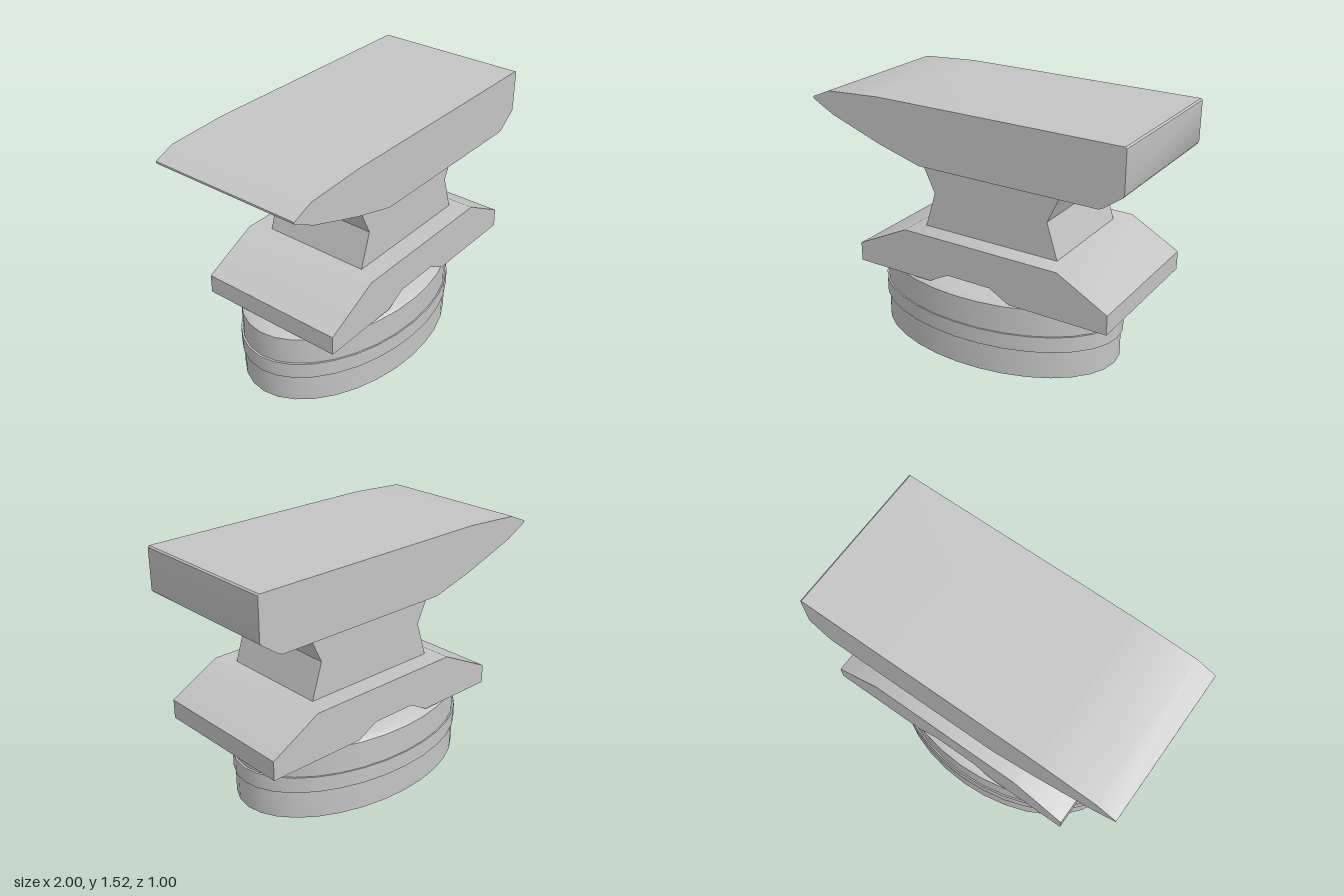
import * as THREE from 'three';
import { toCreasedNormals } from 'three/addons/utils/BufferGeometryUtils.js';

const CREASE = THREE.MathUtils.degToRad(40);

export function createModel() {
  const model = new THREE.Group();
  model.name = 'anvil';
  const steel = new THREE.MeshStandardMaterial({ color: 0xc4c4c4 });
  steel.name = 'grey steel';

  const add = (name, geometry) => {
    const mesh = new THREE.Mesh(toCreasedNormals(geometry, CREASE), steel);
    mesh.name = name;
    model.add(mesh);
  };

  // Side profile (x, y) extruded evenly to both sides of z = 0
  const slab = (name, halfDepth, points) => {
    const shape = new THREE.Shape(points.map(([x, y]) => new THREE.Vector2(x, y)));
    const geometry = new THREE.ExtrudeGeometry(shape, { depth: 2 * halfDepth, bevelEnabled: false });
    add(name, geometry.translate(0, 0, -halfDepth));
  };

  // Oval stand with a raised band and chamfered rim
  const profile = [
    [0, 0], [0.785, 0], [0.785, 0.173], [0.798, 0.173], [0.798, 0.27],
    [0.785, 0.27], [0.785, 0.436], [0.74, 0.458], [0, 0.458],
  ].map(([r, y]) => new THREE.Vector2(r, y));
  const stand = new THREE.LatheGeometry(profile, 32);
  add('stand', stand.scale(1, 1, 0.624).translate(-0.012, 0, 0));

  // Foot with sloping shoulders and an arch beneath
  slab('foot', 0.455, [
    [-0.717, 0.46], [-0.21, 0.46], [-0.085, 0.528], [0.2, 0.528], [0.325, 0.46],
    [0.93, 0.46], [0.93, 0.575], [0.625, 0.742], [-0.38, 0.742], [-0.717, 0.575],
  ]);

  // Pinched waist
  slab('waist', 0.335, [
    [-0.315, 0.74], [0.56, 0.74], [0.492, 0.955], [0.592, 1.166],
    [-0.348, 1.166], [-0.247, 0.955],
  ]);

  // Working face with tapering horn and clipped heel
  slab('faceAndHorn', 0.47, [
    [-0.25, 1.165], [0.86, 1.165], [0.882, 1.174], [0.988, 1.252], [0.997, 1.266],
    [0.997, 1.508], [0.988, 1.516], [-0.52, 1.516], [-0.88, 1.494],
    [-1, 1.443], [-1, 1.432], [-0.86, 1.358], [-0.52, 1.24],
  ]);

  return model;
}
